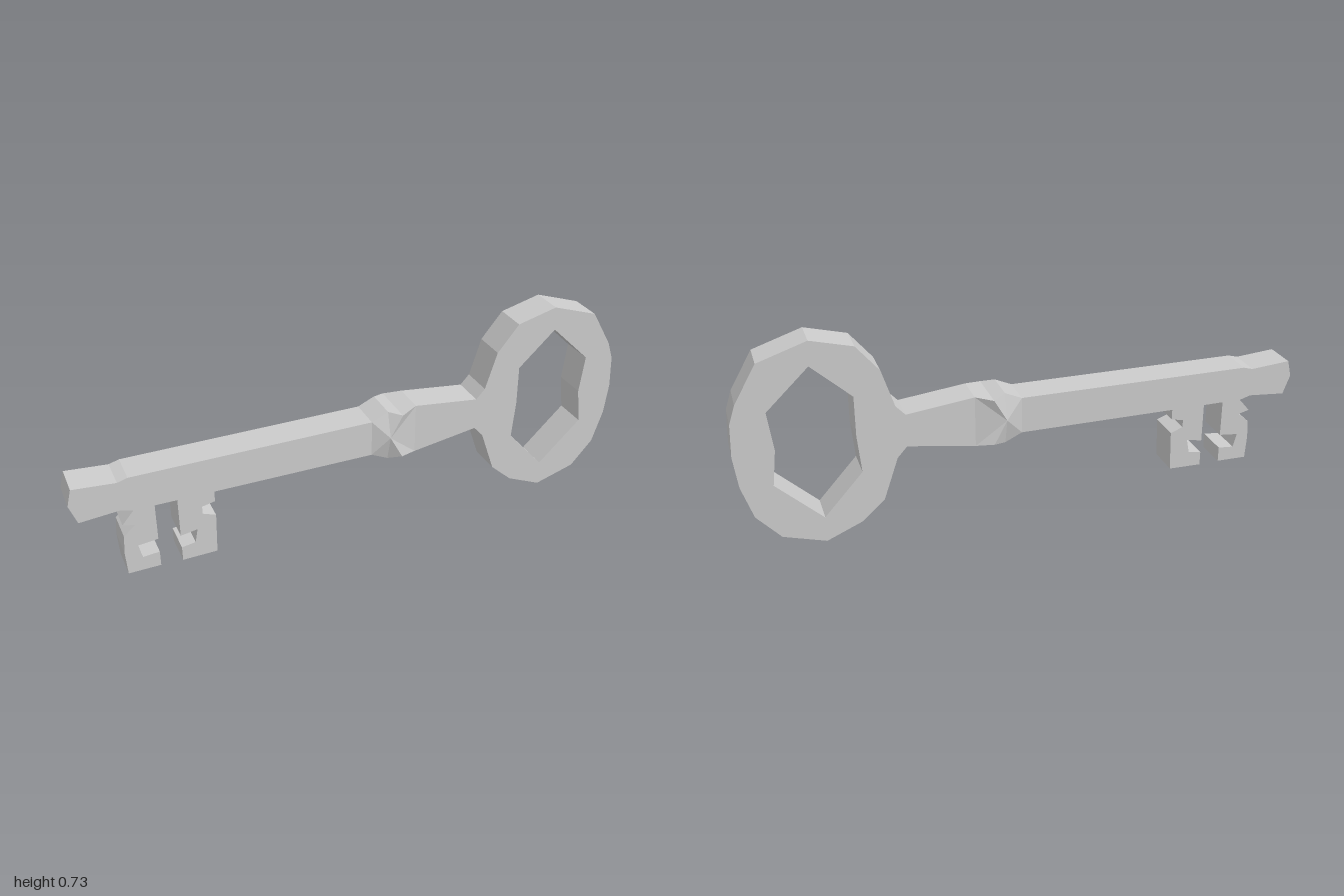
import * as THREE from 'three';

const HALF = 0.059; // half thickness of the flat parts
const RIDGE = 0.084; // half thickness at the collar ridge

const toPoints = (list) => list.map(([x, y]) => new THREE.Vector2(x, y));

export function createModel() {
  const group = new THREE.Group();
  const material = new THREE.MeshStandardMaterial({ color: 0xcccccc, flatShading: true });

  function add(name, geometry) {
    const mesh = new THREE.Mesh(geometry, material);
    mesh.name = name;
    group.add(mesh);
  }

  function plate(name, outline, hole) {
    const shape = new THREE.Shape(toPoints(outline));
    if (hole) shape.holes.push(new THREE.Path(toPoints(hole)));
    const geometry = new THREE.ExtrudeGeometry(shape, { depth: 2 * HALF, bevelEnabled: false });
    geometry.translate(0, 0, -HALF);
    add(name, geometry);
  }

  // Shank with the notched bit hanging below its tip
  plate('shankAndBit', [
    [0.035, 0.43], [-0.805, 0.424], [-0.84, 0.414], [-0.985, 0.425], [-1, 0.366], [-0.975, 0.297],
    [-0.84, 0.309], [-0.8, 0.297],
    // outer tooth
    [-0.84, 0.25], [-0.8, 0.24], [-0.84, 0.205], [-0.845, 0.14], [-0.84, 0.055], [-0.73, 0.057],
    [-0.73, 0.112], [-0.787, 0.107], [-0.8, 0.157], [-0.73, 0.165], [-0.73, 0.298],
    // inner tooth
    [-0.655, 0.298], [-0.655, 0.155], [-0.597, 0.165], [-0.607, 0.115], [-0.655, 0.107],
    [-0.655, 0.055], [-0.535, 0.058], [-0.53, 0.205], [-0.575, 0.222], [-0.575, 0.25],
    [-0.53, 0.26], [-0.53, 0.298], [0.035, 0.3],
  ]);

  // Ring handle and its tapered neck
  plate('bow', [
    [0.2, 0.275], [0.436, 0.313], [0.47, 0.275], [0.522, 0.125], [0.6, 0.055], [0.725, 0.002],
    [0.87, 0.047], [0.95, 0.137], [0.987, 0.254], [1, 0.366], [0.994, 0.48], [0.972, 0.545],
    [0.896, 0.675], [0.73, 0.73], [0.587, 0.692], [0.51, 0.598], [0.468, 0.465], [0.436, 0.43],
    [0.2, 0.457],
  ], [
    [0.735, 0.644], [0.88, 0.505], [0.864, 0.37], [0.88, 0.243],
    [0.725, 0.094], [0.59, 0.243], [0.602, 0.377], [0.602, 0.52],
  ]);

  // Faceted collar joining them: outline with half thickness, fanned from a raised centre
  const ring = [
    [0.035, 0.3, HALF], [0.095, 0.272, HALF], [0.14, 0.282, RIDGE], [0.2, 0.275, HALF],
    [0.2, 0.457, HALF], [0.14, 0.446, RIDGE], [0.095, 0.457, HALF], [0.035, 0.43, HALF],
  ];
  const centre = [0.095, 0.366, RIDGE];
  const back = ([x, y, z]) => [x, y, -z];
  const corners = [];
  ring.forEach((a, i) => {
    const b = ring[(i + 1) % ring.length];
    corners.push(centre, a, b, back(centre), back(b), back(a));
    corners.push(a, back(a), back(b), a, back(b), b);
  });
  const collar = new THREE.BufferGeometry();
  collar.setAttribute('position', new THREE.Float32BufferAttribute(corners.flat(), 3));
  collar.computeVertexNormals();
  add('collar', collar);

  return group;
}
